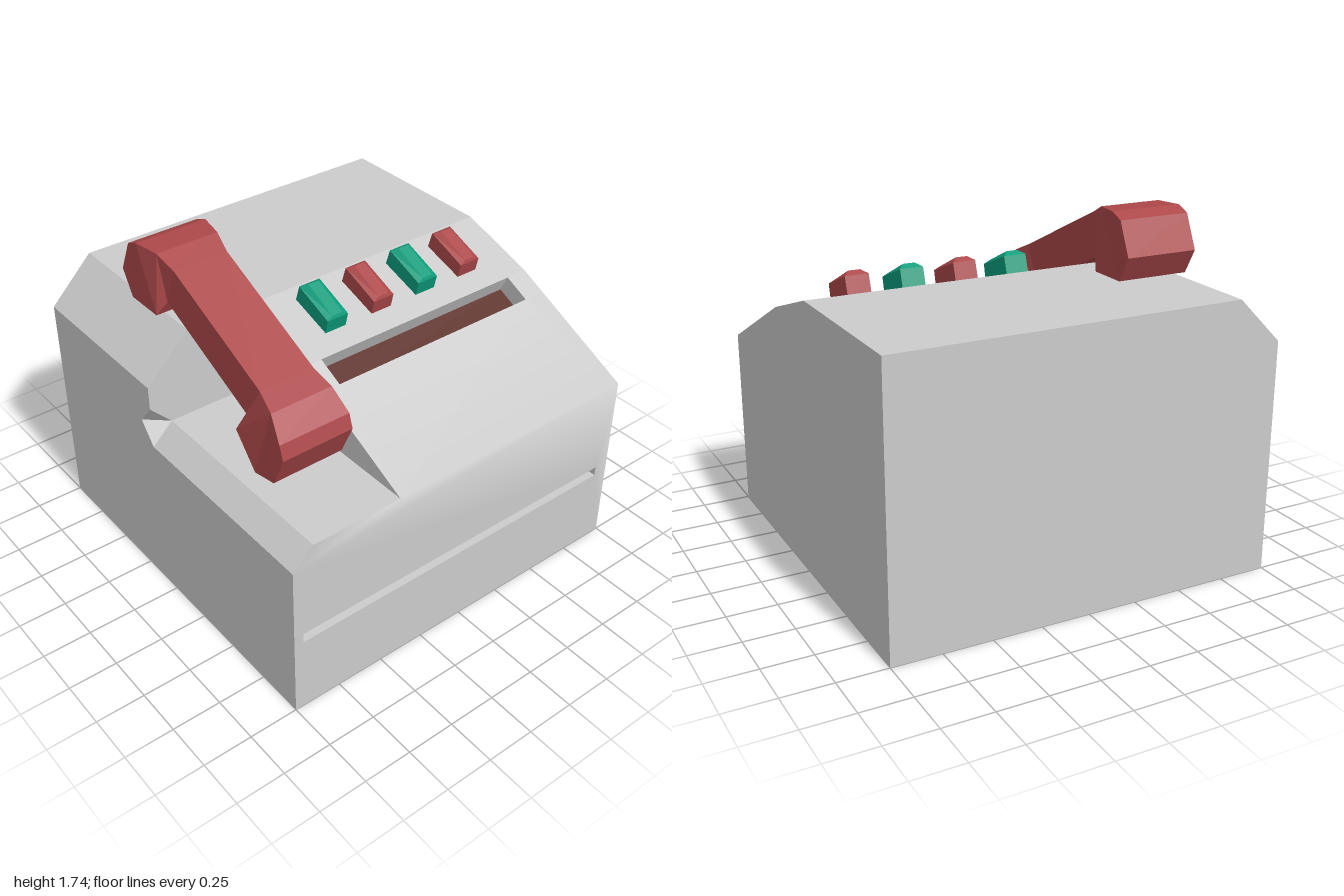
import * as THREE from 'three';

const mat = (color, side = THREE.FrontSide) => new THREE.MeshStandardMaterial({ color, side });
const grey = mat(0xcccccc), red = mat(0xac484a), green = mat(0x0c9d7c), brown = mat(0x5a2a22);
const inner = mat(0xcccccc, THREE.BackSide);

// Main dimensions
const H = 1.41, LIP = 0.945, X = -0.41, ZB = -0.1; // top, front lip, cradle right wall, cradle back wall
const BEND = [1.275, 0.315];                       // y, z where the slope changes
const SLOPE = Math.hypot(BEND[0] - LIP, 1 - BEND[1]);
const tilt = Math.atan2(BEND[0] - LIP, 1 - BEND[1]);

function mesh(name, geo, material) {
  const m = new THREE.Mesh(geo, material);
  m.name = name;
  return m;
}

function fromTriangles(pos) {
  const g = new THREE.BufferGeometry();
  g.setAttribute('position', new THREE.Float32BufferAttribute(pos.flat(), 3));
  g.computeVertexNormals();
  return g;
}

// Flat polygon as a fan, corners counter-clockwise from outside
function polygon(...p) {
  const t = [];
  for (let i = 1; i < p.length - 1; i++) t.push(p[0], p[i], p[i + 1]);
  return fromTriangles(t);
}

// Solid through a list of rings, each counter-clockwise seen from the far end
function loft(rings) {
  const t = [], n = rings[0].length;
  const cap = r => { for (let j = 1; j < n - 1; j++) t.push(r[0], r[j], r[j + 1]); };
  for (let i = 0; i < rings.length - 1; i++) {
    const a = rings[i], b = rings[i + 1];
    for (let j = 0; j < n; j++) {
      const k = (j + 1) % n;
      t.push(a[j], a[k], b[k], a[j], b[k], b[j]);
    }
  }
  cap([...rings[0]].reverse());
  cap(rings[rings.length - 1]);
  return fromTriangles(t);
}

const shape = pts => new THREE.Shape(pts.map(p => new THREE.Vector2(...p)));

// Soften the shading over the front lip
function softenLip(g) {
  const n = new THREE.Vector3(0, Math.cos(tilt), Math.sin(tilt) + 1).normalize();
  const p = g.attributes.position;
  for (let i = 0; i < p.count; i++) {
    if (Math.abs(p.getY(i) - LIP) < 1e-3 && p.getX(i) > X - 1e-3) g.attributes.normal.setXYZ(i, n.x, n.y, n.z);
  }
  return g;
}

// Rectangular recess going in along -z, with a dark floor
function slot(name, x0, x1, y0, y1, depth) {
  const g = new THREE.Group();
  g.name = name;
  const walls = new THREE.BoxGeometry(x1 - x0, y1 - y0, depth);
  walls.setIndex(Array.from(walls.index.array.slice(0, 24))); // four side walls only
  walls.clearGroups();
  walls.translate((x0 + x1) / 2, (y0 + y1) / 2, -depth / 2);
  const floor = new THREE.PlaneGeometry(x1 - x0, y1 - y0).translate((x0 + x1) / 2, (y0 + y1) / 2, -depth);
  g.add(mesh(name + 'Walls', walls, inner), mesh(name + 'Floor', floor, brown));
  return g;
}

function createBody() {
  const body = new THREE.Group();
  body.name = 'body';
  const [by, bz] = BEND;

  // Front with long slot
  const front = shape([[-1, 0], [1, 0], [1, LIP], [X, LIP], [-0.89, LIP], [-1, 0.84]]);
  front.holes.push(new THREE.Path([[-0.95, 0.405], [-0.95, 0.455], [0.92, 0.455], [0.92, 0.405]]
    .map(p => new THREE.Vector2(...p))));
  body.add(mesh('frontPanel', softenLip(new THREE.ShapeGeometry(front).translate(0, 0, 1)), grey));
  const lower = slot('frontSlot', -0.95, 0.92, 0.405, 0.455, 0.1);
  lower.position.z = 1;
  body.add(lower);

  // Sloping face, open along its top edge for the second slot
  const s0 = SLOPE - 0.15;
  const slope = new THREE.ShapeGeometry(shape([[X, 0], [1, 0], [1, SLOPE], [0.88, SLOPE],
    [0.88, s0], [-0.315, s0], [-0.315, SLOPE], [X, SLOPE]]));
  slope.rotateX(tilt - Math.PI / 2).translate(0, LIP, 1);
  body.add(mesh('slopingPanel', softenLip(slope), grey));
  const upper = slot('slopeSlot', -0.315, 0.88, s0, SLOPE, 0.1);
  upper.rotation.x = tilt - Math.PI / 2;
  upper.position.set(0, LIP, 1);
  body.add(upper);

  const panels = {
    buttonPanel: [[X, by, bz], [1, by, bz], [1, H, ZB], [X, H, ZB]],
    topPanel: [[-0.77, H, ZB], [1, H, ZB], [1, H, -1], [-0.77, H, -1]],
    leftSide: [[1, 0, 1], [1, 0, -1], [1, H, -1], [1, H, ZB], [1, by, bz], [1, LIP, 1]],
    backPanel: [[1, 0, -1], [-1, 0, -1], [-1, 1.18, -1], [-0.77, H, -1], [1, H, -1]],
    base: [[-1, 0, -1], [1, 0, -1], [1, 0, 1], [-1, 0, 1]],
    rightSide: [[-1, 0, -1], [-1, 0, 1], [-1, 0.84, 1], [-1, 0.84, ZB], [-1, 0.95, -0.19],
      [-1, 1.06, ZB], [-1, 1.18, ZB], [-1, 1.18, -1]],
    topBevel: [[-1, 1.18, -1], [-1, 1.18, ZB], [-0.77, H, ZB], [-0.77, H, -1]],
    cradleBackWall: [[-0.89, LIP, ZB], [X, LIP, ZB], [X, H, ZB], [-0.77, H, ZB], [-1, 1.18, ZB], [-1, 1.06, ZB]],
    cradleNotchUpper: [[-1, 1.06, ZB], [-1, 0.95, -0.19], [-0.89, LIP, ZB]],
    cradleNotchLower: [[-1, 0.84, ZB], [-0.89, LIP, ZB], [-1, 0.95, -0.19]],
    cradleFloor: [[-0.89, LIP, 1], [X, LIP, 1], [X, LIP, ZB], [-0.89, LIP, ZB]],
    cradleBevel: [[-1, 0.84, 1], [-0.89, LIP, 1], [-0.89, LIP, ZB], [-1, 0.84, ZB]],
    cradleSideWall: [[X, LIP, ZB], [X, LIP, 1], [X, by, bz], [X, H, ZB]],
  };
  for (const [name, pts] of Object.entries(panels)) body.add(mesh(name, polygon(...pts), grey));
  return body;
}

// Handset: half its sections (top z, y, half width; bottom z, y, half width), mirrored end to end
function createHandset() {
  const half = [
    [0.358, 1.462, 0.145, 0.342, 1.248, 0.145],
    [0.473, 1.462, 0.165, 0.344, 1.169, 0.19],
    [0.6, 1.406, 0.19, 0.535, 1.081, 0.19],
    [0.652, 1.35, 0.19, 0.652, 1.166, 0.19],
  ];
  const ring = ([tz, ty, tw, bz, by, bw], s) =>
    [[tw, ty, s * tz], [-tw, ty, s * tz], [-bw, by, s * bz], [bw, by, s * bz]];
  const rings = [...[...half].reverse().map(h => ring(h, -1)), ...half.map(h => ring(h, 1))];
  const m = mesh('handset', loft(rings), red);
  m.rotation.x = 0.431;
  m.position.set(-0.63, 0.21, -0.456);
  return m;
}

// Button with a bevelled, wedge-shaped top
function createButton() {
  const ring = (w, yBack, zBack, yFront, zFront) =>
    [[w, yBack, zBack], [-w, yBack, zBack], [-w, yFront, zFront], [w, yFront, zFront]];
  return loft([
    ring(0.06, -0.01, -0.12, -0.01, 0.122),
    ring(0.06, 0.09, -0.12, 0.075, 0.115),
    ring(0.03, 0.115, -0.095, 0.09, 0.105),
  ]);
}

export function createModel() {
  const model = new THREE.Group();
  model.name = 'deskTelephone';
  model.add(createBody(), createHandset());

  const button = createButton();
  for (let i = 0; i < 4; i++) {
    const b = mesh('button', button, i % 2 ? red : green);
    b.position.set(-0.14 + 0.28 * i, 1.35, 0.084);
    b.rotation.x = Math.atan2(H - BEND[0], BEND[1] - ZB);
    model.add(b);
  }
  return model;
}
